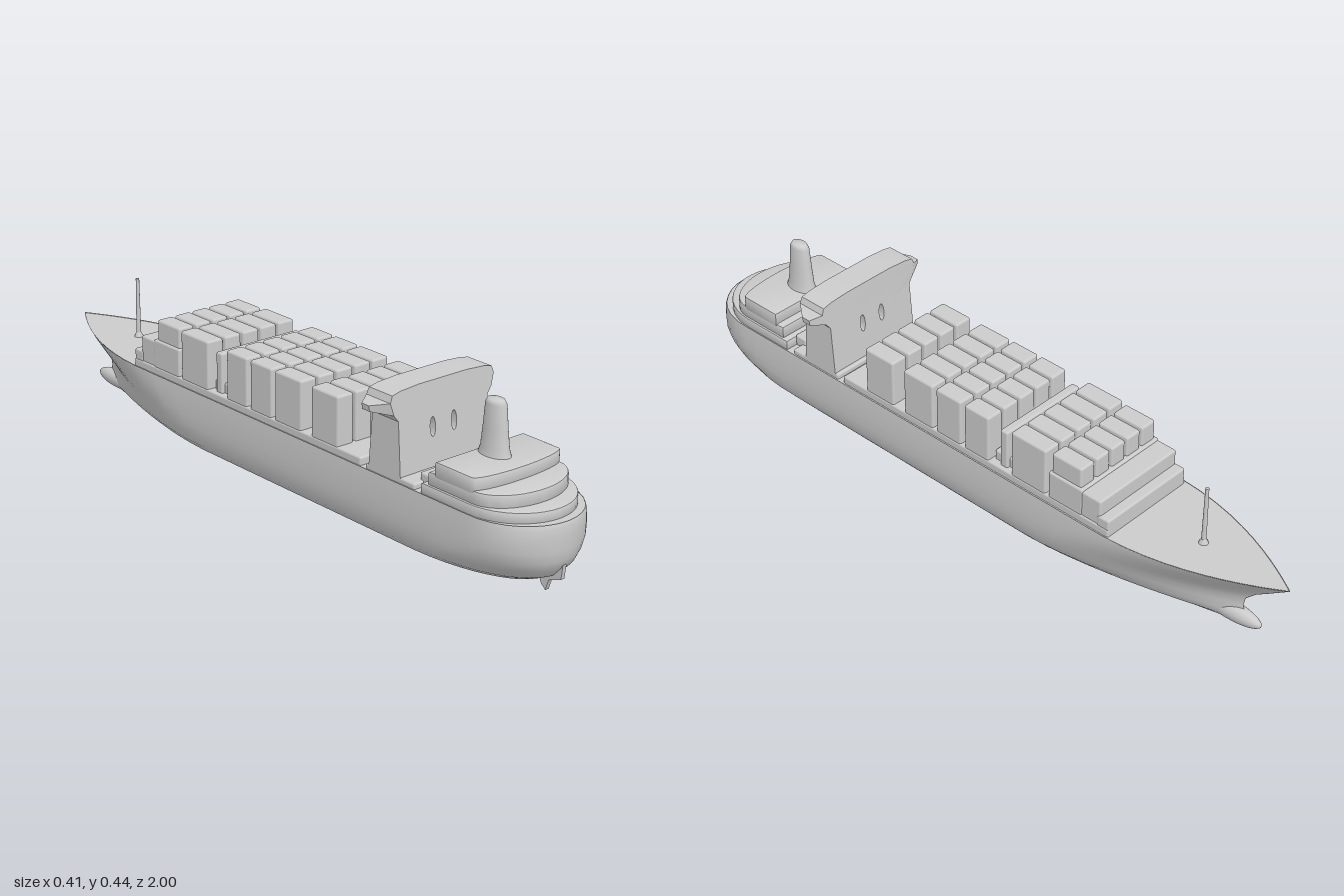
import * as THREE from 'three';
import { toCreasedNormals } from 'three/addons/utils/BufferGeometryUtils.js';
import { RoundedBoxGeometry } from 'three/addons/geometries/RoundedBoxGeometry.js';

const material = new THREE.MeshStandardMaterial({ color: 0xcccccc, side: THREE.DoubleSide });

function add(parent, name, geometry, x = 0, y = 0, z = 0) {
  const mesh = new THREE.Mesh(geometry, material);
  mesh.name = name;
  mesh.position.set(x, y, z);
  parent.add(mesh);
  return mesh;
}

// Box given by its extents, with softened edges
function block(parent, name, [x0, x1], [y0, y1], [z0, z1], radius = 0.006) {
  const geometry = new RoundedBoxGeometry(x1 - x0, y1 - y0, z1 - z0, 2, radius);
  return add(parent, name, geometry, (x0 + x1) / 2, (y0 + y1) / 2, (z0 + z1) / 2);
}

// Closed waterline outline: pointed bow at -z, rounded stern at +z
function waterline({ w, bow, entry, power, stern, run }, n = 40) {
  const side = [];
  for (let i = 0; i <= n; i++) {
    const z = bow + (stern - bow) * (1 - Math.cos(Math.PI * i / n)) / 2;
    const t = Math.min(1, (z - bow) / entry);
    const q = Math.max(0, (z - stern + run) / run);
    const x = w * (1 - Math.pow(1 - t, power)) * Math.sqrt(Math.max(0, 1 - q * q));
    side.push([x, z]);
  }
  const other = side.slice(1, -1).reverse().map(([x, z]) => [-x, z]);
  return side.concat(other);
}

// Heights: y, half width, bow z, bow entry length, entry power, stern z, stern run length
const levels = [
  [0.005, 0.001, -0.80, 0.60, 1.6, 0.78, 0.40],
  [0.008, 0.045, -0.83, 0.62, 1.6, 0.82, 0.38],
  [0.016, 0.100, -0.86, 0.62, 1.6, 0.86, 0.35],
  [0.028, 0.134, -0.87, 0.62, 1.6, 0.92, 0.33],
  [0.048, 0.151, -0.87, 0.60, 1.6, 0.96, 0.30],
  [0.075, 0.158, -0.865, 0.57, 1.7, 0.985, 0.25],
  [0.100, 0.161, -0.87, 0.54, 1.7, 0.995, 0.21],
  [0.130, 0.162, -0.90, 0.52, 1.8, 1.0, 0.18],
  [0.165, 0.161, -0.95, 0.51, 1.9, 1.0, 0.17],
  [0.190, 0.159, -0.985, 0.50, 2.0, 1.0, 0.17],
  [0.202, 0.158, -1.0, 0.50, 2.0, 0.995, 0.17],
];

function hullGeometry() {
  const positions = [], index = [];
  let count = 0;
  levels.forEach(([y, w, bow, entry, power, stern, run], i) => {
    const ring = waterline({ w, bow, entry, power, stern, run });
    count = ring.length;
    ring.forEach(([x, z]) => positions.push(x, y, z));
    if (i === 0) return;
    for (let j = 0; j < count; j++) {
      const a = (i - 1) * count + j, b = (i - 1) * count + (j + 1) % count;
      index.push(a, a + count, b, b, a + count, b + count);
    }
  });
  const geometry = new THREE.BufferGeometry();
  geometry.setAttribute('position', new THREE.Float32BufferAttribute(positions, 3));
  geometry.setIndex(index);
  geometry.computeVertexNormals();
  return geometry;
}

function planShape(points) {
  return new THREE.Shape(points.map(([x, z]) => new THREE.Vector2(x, -z)));
}

// Deckhouse tier whose aft end is a half ellipse
function tier(parent, name, w, z0, z1, round, y0, y1) {
  const points = [[-w, z0], [w, z0]];
  for (let i = 0; i <= 20; i++) {
    const a = Math.PI * i / 20;
    points.push([w * Math.cos(a), z1 - round + round * Math.sin(a)]);
  }
  const bevel = 0.005;
  const geometry = new THREE.ExtrudeGeometry(planShape(points), {
    depth: y1 - y0 - bevel, bevelThickness: bevel, bevelSize: bevel, bevelOffset: -bevel, bevelSegments: 2,
  });
  geometry.rotateX(-Math.PI / 2);
  add(parent, name, toCreasedNormals(geometry, 0.7), 0, y0, 0);
}

// Bridge tower: front silhouette with wings and two openings, thinner toward top and wing tips
function bridgeGeometry() {
  const half = [[0.152, 0.2], [0.151, 0.36], [0.165, 0.378], [0.205, 0.386], [0.207, 0.402],
    [0.175, 0.412], [0.168, 0.43], [0.14, 0.436], [0.08, 0.44]];
  const outline = half.concat(half.slice().reverse().map(([x, y]) => [-x, y]));
  const shape = new THREE.Shape(outline.map(p => new THREE.Vector2(...p)));
  for (const x of [-0.038, 0.034]) {
    shape.holes.push(new THREE.Path().absellipse(x, 0.32, 0.009, 0.026, 0, Math.PI * 2, true));
  }
  const geometry = new THREE.ExtrudeGeometry(shape, {
    depth: 1, steps: 1, bevelEnabled: false, curveSegments: 12,
  });
  const p = geometry.attributes.position;
  for (let i = 0; i < p.count; i++) {
    const depth = THREE.MathUtils.mapLinear(p.getY(i), 0.2, 0.44, 0.12, 0.084);
    const wing = Math.abs(p.getX(i)) > 0.2 ? 0.3 : 1;
    const shift = wing < 1 ? -0.012 : 0;
    p.setZ(i, 0.51 + shift + (p.getZ(i) - 0.5) * depth * wing);
  }
  return toCreasedNormals(geometry, 0.6);
}

export function createModel() {
  const ship = new THREE.Group();
  ship.name = 'containerShip';

  // Hull, main deck, bulbous bow and rudder
  add(ship, 'hull', hullGeometry());
  const [, w, bow, entry, power, stern, run] = levels[levels.length - 1];
  const deck = new THREE.ShapeGeometry(planShape(waterline({ w, bow, entry, power, stern, run })));
  add(ship, 'mainDeck', deck.rotateX(-Math.PI / 2), 0, 0.2, 0);
  const bulb = new THREE.SphereGeometry(1, 24, 16).scale(0.024, 0.027, 0.1);
  add(ship, 'bulbousBow', bulb, 0, 0.038, -0.825);
  const rudder = new THREE.Shape([[0.9, 0.06], [0.99, 0.085], [0.985, 0.045], [0.945, 0.03], [0.935, 0], [0.92, 0.012]]
    .map(([z, y]) => new THREE.Vector2(-z, y)));
  const rudderGeometry = new THREE.ExtrudeGeometry(rudder, { depth: 0.012, bevelEnabled: false });
  add(ship, 'rudder', rudderGeometry.rotateY(Math.PI / 2), -0.006, 0, 0);

  // Hatch coaming below the cargo and the forward hold housing
  block(ship, 'hatchCoaming', [-0.152, 0.152], [0.19, 0.222], [-0.54, 0.42]);
  block(ship, 'forwardHousing', [-0.15, 0.15], [0.2, 0.3], [-0.45, -0.335]);
  block(ship, 'forwardStep', [-0.148, 0.148], [0.2, 0.295], [-0.51, -0.44]);
  block(ship, 'breakwater', [-0.15, 0.15], [0.2, 0.25], [-0.54, -0.5]);
  block(ship, 'crossPassage', [-0.13, 0.13], [0.2, 0.25], [-0.2, -0.13]);
  block(ship, 'crossWall', [-0.14, 0.14], [0.2, 0.335], [-0.183, -0.157]);

  // Container rows: z from, z to, base height, half width
  const rows = [
    [-0.44, -0.34, 0.29, 0.147], [-0.325, -0.205, 0.21, 0.154], [-0.125, -0.038, 0.21, 0.154],
    [-0.025, 0.065, 0.21, 0.154], [0.077, 0.185, 0.21, 0.154], [0.225, 0.33, 0.21, 0.154],
  ];
  const columns = 5;
  rows.forEach(([z0, z1, base, half], r) => {
    const row = new THREE.Group();
    row.name = 'containerRow' + (r + 1);
    const pitch = 2 * half / columns;
    for (let c = 0; c < columns; c++) {
      const x = -half + c * pitch;
      block(row, 'containerStack', [x + 0.004, x + pitch - 0.004], [base, 0.358], [z0, z1], 0.007);
    }
    ship.add(row);
  });

  // Bridge tower and its deck fittings
  add(ship, 'bridgeTower', bridgeGeometry());
  block(ship, 'bridgeBase', [-0.152, 0.152], [0.19, 0.215], [0.44, 0.62]);
  for (const x of [-0.09, 0, 0.09]) {
    block(ship, 'deckLocker', [x - 0.03, x + 0.03], [0.2, 0.235], [0.605, 0.645]);
  }

  // Aft deckhouse in receding tiers
  tier(ship, 'aftDeckhouseLower', 0.153, 0.645, 0.97, 0.16, 0.2, 0.228);
  tier(ship, 'aftDeckhouseMiddle', 0.147, 0.665, 0.92, 0.1, 0.228, 0.262);
  tier(ship, 'aftDeckhouseUpper', 0.149, 0.69, 0.845, 0.03, 0.258, 0.296);

  // Funnel, tapering upward
  const funnelProfile = [[0.036, 0], [0.031, 0.02], [0.027, 0.07], [0.023, 0.135], [0.018, 0.146], [0, 0.147]]
    .map(p => new THREE.Vector2(...p));
  const funnel = new THREE.LatheGeometry(funnelProfile, 28).scale(0.9, 1, 1.4);
  add(ship, 'funnel', funnel, 0, 0.293, 0.742);

  // Foremast
  add(ship, 'foremast', new THREE.CylinderGeometry(0.005, 0.007, 0.18, 12), 0, 0.285, -0.727);
  add(ship, 'foremastFoot', new THREE.CylinderGeometry(0.007, 0.014, 0.015, 12), 0, 0.206, -0.727);

  return ship;
}
